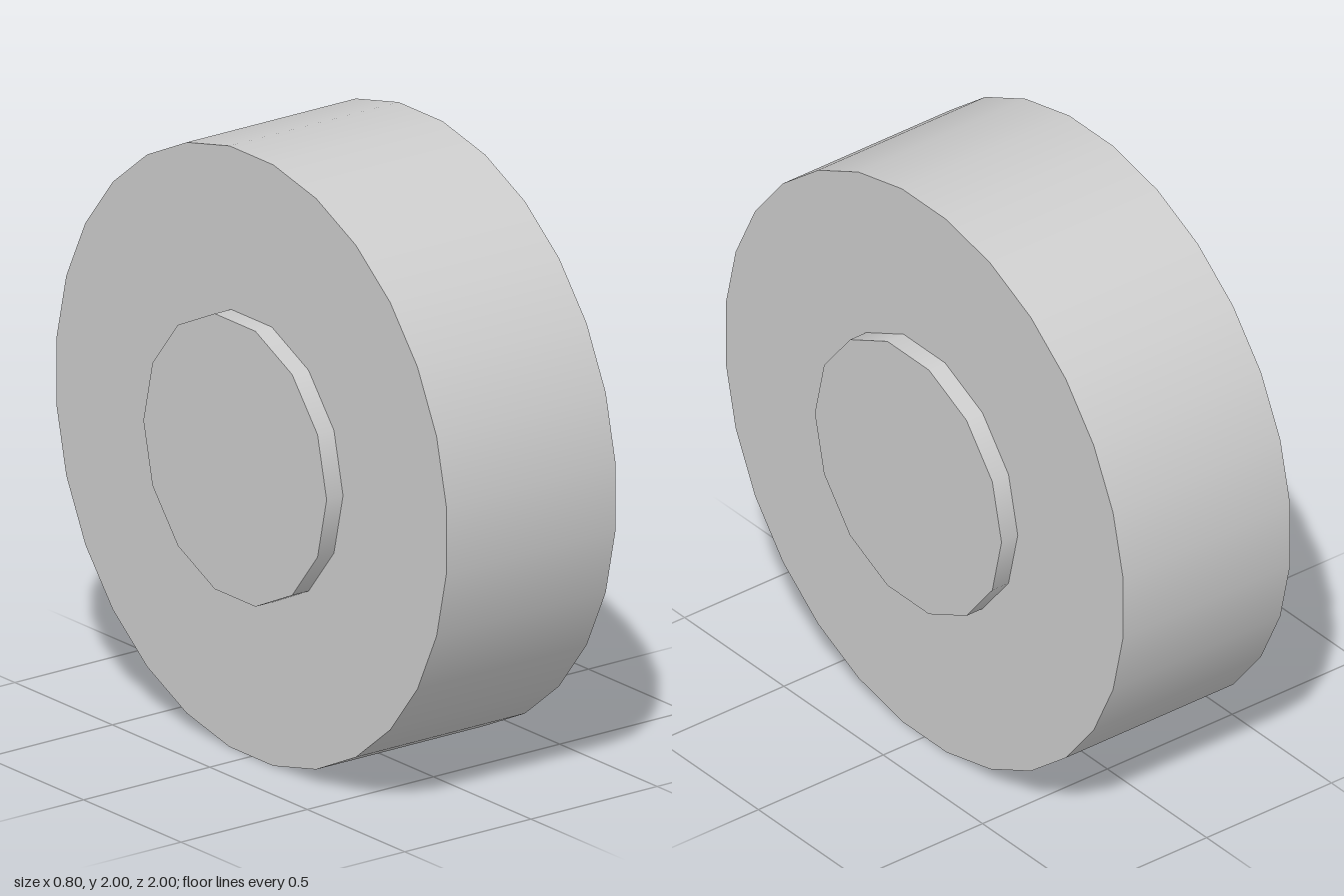
import * as THREE from 'three';

// Disc lying along the x axis, centred at axle height
function disc(name, radius, width, sides, turn, material) {
  const geometry = new THREE.CylinderGeometry(radius, radius, width, sides, 1, false, turn);
  geometry.rotateZ(Math.PI / 2);
  const mesh = new THREE.Mesh(geometry, material);
  mesh.name = name;
  mesh.position.y = 1;
  return mesh;
}

export function createModel() {
  const model = new THREE.Group();
  model.name = 'wheel';

  const lightGrey = new THREE.MeshStandardMaterial({ color: 0xcccccc });
  lightGrey.name = 'lightGrey';

  // Broad roller with flats at top, bottom, front and back
  const half = Math.PI / 28;
  model.add(disc('tyre', 1 / Math.cos(half), 0.67, 28, half, lightGrey));

  // Hub runs through the roller and stands proud on both sides
  model.add(disc('hub', 0.47, 0.8, 14, 0, lightGrey));

  return model;
}
